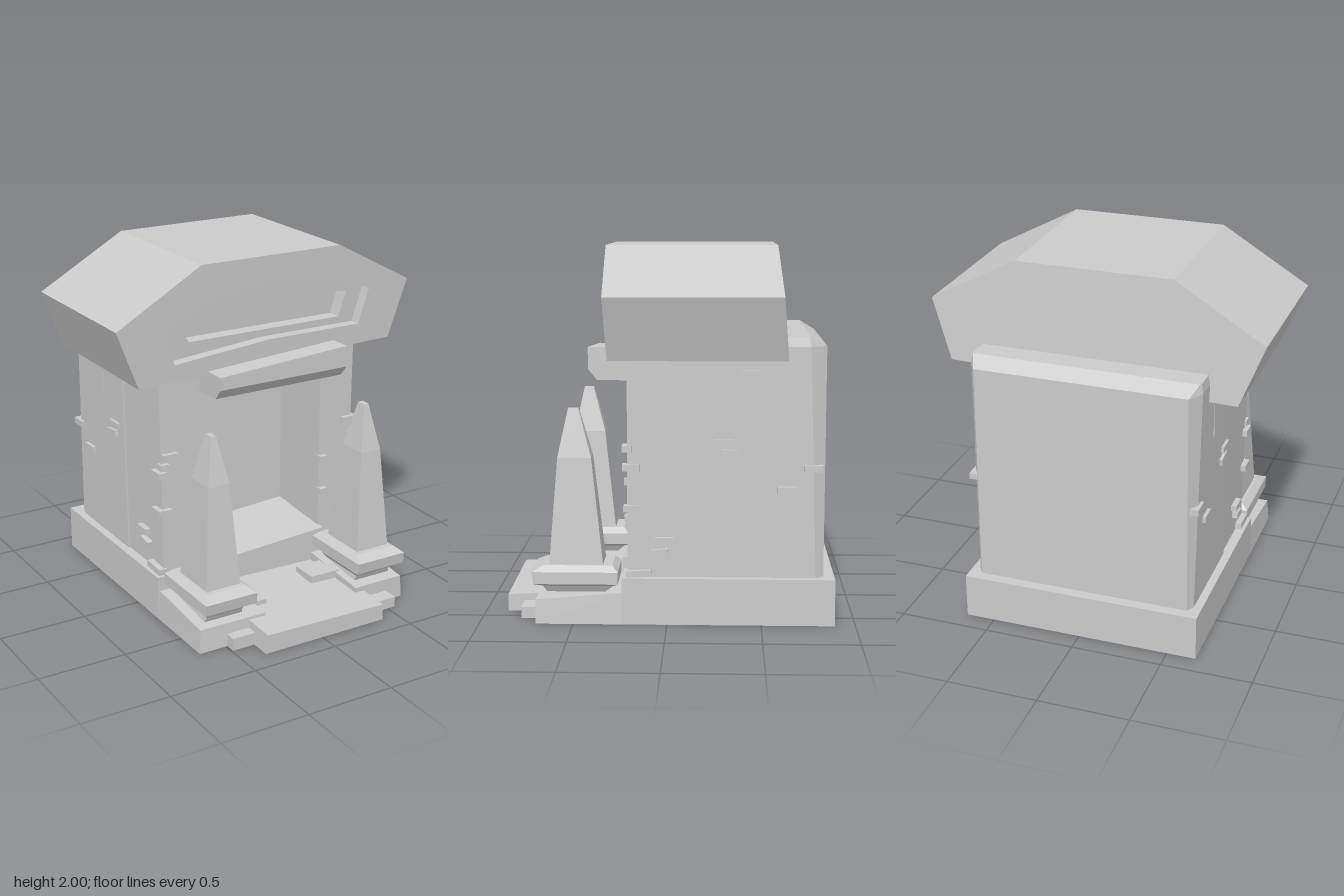
import * as THREE from 'three';

const mat = new THREE.MeshStandardMaterial({ color: 0xcccccc, flatShading: true });

// Solid through stacked rings of [x, y, z], counter-clockwise seen from above.
function loft(rings) {
  const pos = [], n = rings[0].length;
  const tri = (a, b, c) => pos.push(...a, ...b, ...c);
  for (let r = 0; r < rings.length - 1; r++) {
    for (let i = 0; i < n; i++) {
      const j = (i + 1) % n, lo = rings[r], hi = rings[r + 1];
      tri(lo[i], lo[j], hi[j]);
      tri(lo[i], hi[j], hi[i]);
    }
  }
  const bottom = rings[0], top = rings[rings.length - 1];
  for (let i = 1; i < n - 1; i++) {
    tri(bottom[0], bottom[i + 1], bottom[i]);
    tri(top[0], top[i], top[i + 1]);
  }
  const g = new THREE.BufferGeometry();
  g.setAttribute('position', new THREE.Float32BufferAttribute(pos, 3));
  g.computeVertexNormals();
  return g;
}

// Rectangular ring; y is a number or a height rule (x, z).
function rect(x0, x1, z0, z1, y) {
  const h = typeof y === 'function' ? y : () => y;
  return [[x0, z1], [x1, z1], [x1, z0], [x0, z0]].map(([x, z]) => [x, h(x, z), z]);
}

const slab = (x0, x1, z0, z1, y0, y1) => loft([rect(x0, x1, z0, z1, y0), rect(x0, x1, z0, z1, y1)]);

const points = (list) => list.map(([x, y]) => new THREE.Vector2(x, y));

// Upright plate with optional hole, from z0 to z1.
function plate(outline, hole, z0, z1) {
  const s = new THREE.Shape(points(outline));
  if (hole) s.holes.push(new THREE.Path(points(hole)));
  return new THREE.ExtrudeGeometry(s, { depth: z1 - z0, bevelEnabled: false }).translate(0, 0, z0);
}

export function createModel() {
  const model = new THREE.Group();
  const add = (name, geometry, parent = model) => {
    const m = new THREE.Mesh(geometry, mat);
    m.name = name;
    parent.add(m);
    return m;
  };

  // Base, sloping terraces and front steps
  const slope = (x, z) => 0.17 - (z - 0.24) * 0.087;
  add('base', slab(-0.66, 0.66, -0.89, 0.24, 0, 0.25));
  add('leftTerrace', loft([rect(0.34, 0.66, 0.24, 0.7, 0), rect(0.34, 0.65, 0.24, 0.7, slope)]));
  add('rightTerrace', loft([rect(-0.66, -0.22, 0.24, 0.7, 0), rect(-0.65, -0.25, 0.24, 0.69, slope)]));
  add('path', loft([rect(-0.36, 0.4, 0.24, 0.88, 0),
    rect(-0.35, 0.4, 0.24, 0.88, (x, z) => (z > 0.5 ? 0.1 : 0.13) - x * 0.02)]));
  add('lowerStep', slab(-0.49, 0.2, 0.5, 0.76, 0, 0.07));
  add('lowerStepLeft', slab(0.2, 0.55, 0.5, 0.79, 0, 0.06));
  add('pavingRight', slab(-0.34, -0.17, 0.42, 0.58, 0.1, 0.145));
  add('pavingLeft', slab(0.18, 0.37, 0.34, 0.5, 0.1, 0.155));

  // Threshold and sloping chamber floor
  add('chamberFloor', loft([rect(-0.38, 0.42, -0.22, 0.25, 0.1),
    rect(-0.38, 0.42, -0.22, 0.25, (x, z) => 0.285 + x * 0.06 + (z < 0 ? 0.035 : 0))]));

  // Front part of the walls with the doorway
  add('frontWalls', plate(
    [[-0.605, 0.2], [0.615, 0.2], [0.63, 1.45], [-0.62, 1.45]],
    [[-0.37, 0.21], [-0.37, 1.4], [0.41, 1.4], [0.41, 0.21]], -0.2, 0.21));

  // Rear part, chamfered at the back corners and top
  const rear = (y, w, zc, ze, we) =>
    [[-w, -0.2], [w, -0.2], [w, zc], [we, ze], [-we, ze], [-w, zc]].map(([x, z]) => [x, y, z]);
  add('rearWalls', loft([
    rear(0.2, 0.615, -0.79, -0.83, 0.59),
    rear(1.48, 0.63, -0.75, -0.835, 0.58),
    rear(1.53, 0.62, -0.74, -0.75, 0.615),
  ]));

  // Lintel with a bevelled lower front edge
  add('lintel', loft([
    rect(-0.37, 0.43, 0.1, 0.38, 1.28),
    rect(-0.37, 0.43, 0.1, 0.43, 1.34),
    rect(-0.37, 0.43, 0.1, 0.43, (x) => 1.433 + x * 0.06),
  ]));

  // Roof: stacked plates with a stepped recess, leaning front and back faces
  const outline = [[-0.78, 1.38], [0.8, 1.42], [0.91, 1.75], [0.44, 2], [-0.42, 2], [-0.91, 1.71]];
  const recess = [[-0.57, 1.48], [0, 1.53], [0.59, 1.53], [0.65, 1.73], [0.34, 1.85],
    [0.04, 1.87], [-0.32, 1.83], [-0.64, 1.68]];
  const slot = [[-0.45, 1.57], [0.5, 1.57], [0.54, 1.71], [0.04, 1.78], [-0.52, 1.67]];
  const roof = new THREE.Group();
  roof.name = 'roof';
  model.add(roof);
  const layers = [
    ['roofRim', recess, 0.93, 1],
    ['recessPanel', slot, 0.84, 0.93],
    ['roofBlock', null, 0, 0.84],
  ];
  for (const [name, hole, t0, t1] of layers) {
    const g = plate(outline, hole, t0, t1);
    const p = g.attributes.position;
    for (let i = 0; i < p.count; i++) {
      const k = (2 - p.getY(i)) / 0.6;
      p.setZ(i, THREE.MathUtils.lerp(-0.58 - 0.05 * k, 0.33 - 0.03 * k, p.getZ(i)));
    }
    g.computeVertexNormals();
    add(name, g, roof);
  }

  // Obelisks on flared pedestals, one on each side of the path
  const ring = (w, z0, z1, y) => rect(-w, w, z0, z1, y);
  for (const [side, x] of [['right', -0.472], ['left', 0.5]]) {
    const post = new THREE.Group();
    post.name = side + 'Obelisk';
    post.position.x = x;
    model.add(post);
    add('pedestal', loft([
      ring(0.12, 0.32, 0.62, 0.12),
      ring(0.11, 0.33, 0.64, 0.165),
      ring(0.13, 0.29, 0.66, 0.2),
      ring(0.157, 0.26, 0.71, 0.215),
      ring(0.157, 0.26, 0.72, 0.28),
      ring(0.12, 0.29, 0.66, 0.31),
    ]), post);
    add('obelisk', loft([
      ring(0.105, 0.34, 0.63, 0.3),
      ring(0.064, 0.405, 0.585, 0.88),
      ring(0.015, 0.475, 0.53, 1.14),
    ]), post);
  }

  // Protruding bricks on both side walls: z, y, length, tilt
  const bricks = new THREE.Group();
  bricks.name = 'bricks';
  model.add(bricks);
  const sideBricks = [
    [0.19, 0.84, 0.09, 0], [0.185, 0.62, 0.09, 0], [0.015, 0.45, 0.1, 0], [0.04, 0.385, 0.09, 0.12],
    [0.15, 0.27, 0.14, 0.05], [-0.3, 0.975, 0.1, 0], [-0.33, 0.92, 0.1, -0.12],
    [-0.77, 0.84, 0.1, 0], [-0.63, 0.725, 0.1, 0], [-0.44, 1.34, 0.1, 0],
  ];
  for (const s of [-1, 1]) {
    for (const [z, y, len, tilt] of sideBricks) {
      const b = add('sideBrick', new THREE.BoxGeometry(0.05, 0.035, len), bricks);
      b.position.set(s * 0.615, y, z);
      b.rotation.x = tilt;
    }
  }

  // Bricks on the front wall beside the doorway: x, y, length
  const frontBricks = [
    [-0.565, 0.94, 0.09], [-0.6, 0.885, 0.05], [-0.585, 0.62, 0.05], [-0.37, 0.745, 0.05],
    [-0.37, 0.62, 0.04], [-0.37, 0.545, 0.04], [0.6, 0.94, 0.09], [0.43, 0.73, 0.05], [0.43, 0.53, 0.05],
  ];
  for (const [x, y, len] of frontBricks) {
    add('frontBrick', new THREE.BoxGeometry(len, 0.035, 0.05), bricks).position.set(x, y, 0.212);
  }

  // Narrow upright stone under the eave
  add('eaveStone', new THREE.BoxGeometry(0.03, 0.3, 0.08)).position.set(-0.615, 1.28, -0.48);

  return model;
}
